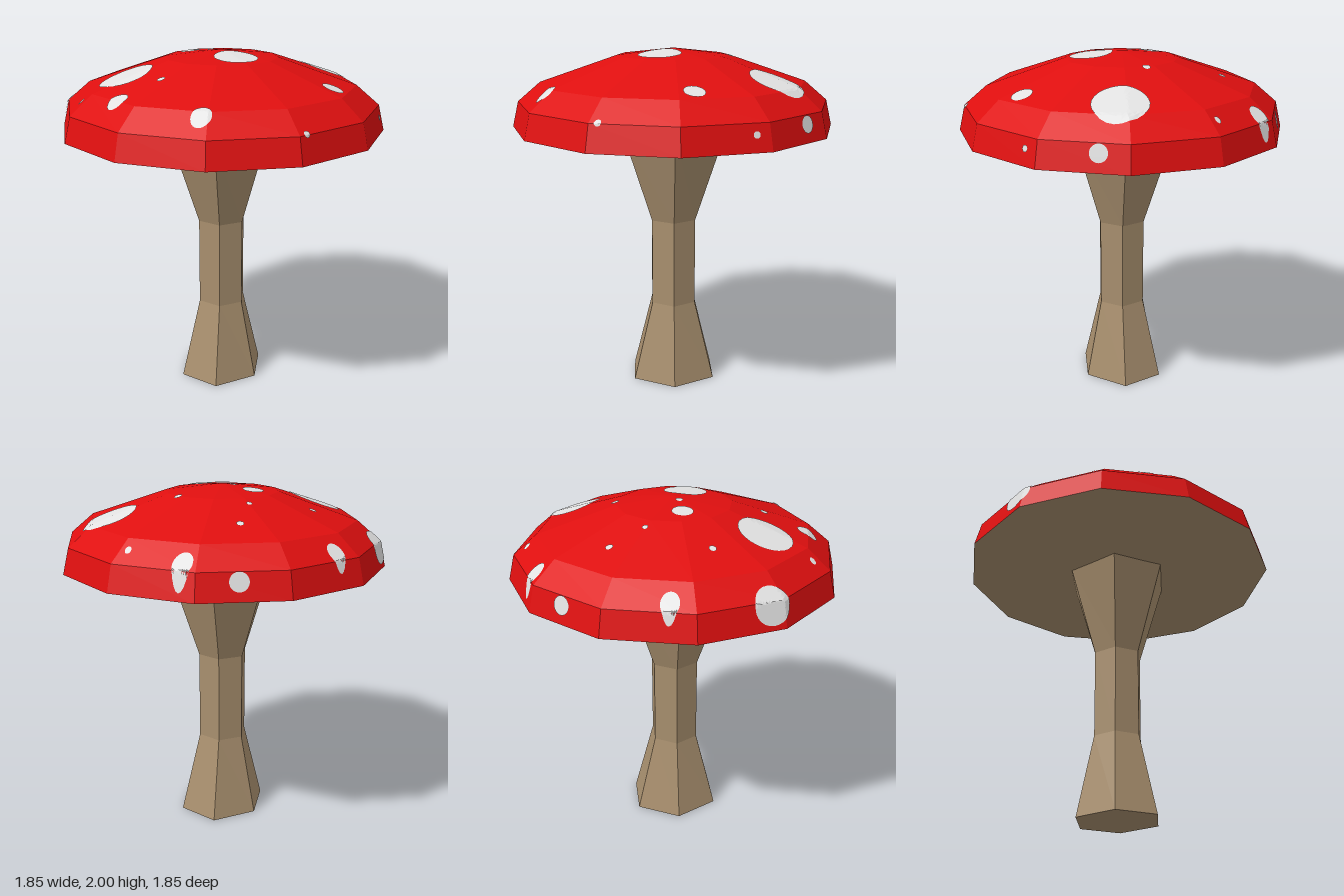
import * as THREE from 'three';

const red = new THREE.MeshStandardMaterial({ color: 0xdf0f0f, flatShading: true });
red.name = 'capRed';
const white = new THREE.MeshStandardMaterial({ color: 0xe2e2e2, flatShading: true });
white.name = 'spotWhite';
const brown = new THREE.MeshStandardMaterial({ color: 0xa88f6e, flatShading: true });
brown.name = 'stemBrown';

const lathe = (points, sides, start = 0) =>
  new THREE.LatheGeometry(points.map(([r, y]) => new THREE.Vector2(r, y)), sides, start);

function addMesh(parent, name, geometry, material) {
  const mesh = new THREE.Mesh(geometry, material);
  mesh.name = name;
  parent.add(mesh);
  return mesh;
}

// Outward facet planes of the convex cap
function facetPlanes(geometry) {
  const pos = geometry.toNonIndexed().attributes.position;
  const planes = [];
  for (let i = 0; i < pos.count; i += 3) {
    const t = new THREE.Triangle().setFromAttributeAndIndices(pos, i, i + 1, i + 2);
    if (t.getArea() < 1e-5) continue;
    const plane = t.getPlane(new THREE.Plane());
    if (plane.normal.y < 0) plane.negate();
    planes.push(plane);
  }
  return planes;
}

// Thin disc slid along its axis until it hugs the cap facets
function spotGeometry(center, axis, radius, planes) {
  const rings = radius > 0.04 ? 8 : 3;
  const disc = new THREE.RingGeometry(0, radius, 24, rings);
  const turn = new THREE.Quaternion().setFromUnitVectors(new THREE.Vector3(0, 0, 1), axis);
  disc.applyQuaternion(turn).translate(center.x, center.y, center.z);
  const pos = disc.attributes.position;
  const p = new THREE.Vector3();
  for (let i = 0; i < pos.count; i++) {
    p.fromBufferAttribute(pos, i);
    let slide = -Infinity;
    for (const plane of planes) {
      const facing = plane.normal.dot(axis);
      if (facing > 0.05) slide = Math.max(slide, plane.distanceToPoint(p) / facing);
    }
    p.addScaledVector(axis, 0.005 - slide);
    pos.setXYZ(i, p.x, p.y, p.z);
  }
  disc.computeVertexNormals();
  return disc;
}

export function createModel() {
  const model = new THREE.Group();
  model.name = 'mushroom';

  // Stem: six-sided, flared at foot and top; each ring is [radius, height, depth scale]
  const stemRings = [[0, 0, 1], [0.25, 0, 1.11], [0.147, 0.48, 1], [0.147, 1, 1], [0.312, 1.54, 1.08]];
  const stem = lathe(stemRings, 6, Math.PI / 2);
  const pos = stem.attributes.position;
  for (let i = 0; i < pos.count; i++) pos.setZ(i, pos.getZ(i) * stemRings[i % stemRings.length][2]);
  stem.computeVertexNormals();
  addMesh(model, 'stem', stem, brown);

  // Cap: twelve-sided dome with a shallow underside
  const cap = new THREE.Group();
  cap.name = 'cap';
  model.add(cap);
  const dome = lathe([[0.925, 1.556], [0.89, 1.7], [0.76, 1.81], [0.32, 1.96], [0, 2]], 12);
  addMesh(cap, 'dome', dome, red);
  addMesh(cap, 'underside', lathe([[0, 1.52], [0.3, 1.525], [0.925, 1.556]], 12), brown);

  // Spots on the dome: [x, z, radius]
  const planes = facetPlanes(dome);
  const topSpots = [
    [-0.33, 0.44, 0.147], [0.355, -0.54, 0.148], [0.15, 0.08, 0.121], [-0.2, 0.02, 0.058],
    [0.665, -0.08, 0.057], [-0.36, -0.765, 0.053], [-0.15, 0.715, 0.055], [0.36, 0.69, 0.053],
    [-0.825, -0.12, 0.048], [-0.06, 0.02, 0.02], [0.05, -0.32, 0.022], [-0.33, -0.19, 0.016],
    [-0.415, -0.38, 0.02], [-0.52, 0.13, 0.02], [-0.04, 0.495, 0.021], [-0.45, 0.67, 0.017],
    [-0.045, -0.81, 0.017],
  ];
  const up = new THREE.Vector3(0, 1, 0);
  for (const [x, z, r] of topSpots)
    addMesh(cap, 'topSpot', spotGeometry(new THREE.Vector3(x, 2, z), up, r, planes), white);

  // Spots on the rim: [x, y, z, radius]
  const rimSpots = [
    [-0.785, 1.675, 0.385, 0.098], [0.575, 1.657, -0.685, 0.047], [-0.615, 1.657, -0.645, 0.05],
    [0.81, 1.645, -0.38, 0.018], [0.785, 1.705, 0.4, 0.018],
  ];
  for (const [x, y, z, r] of rimSpots) {
    const axis = new THREE.Vector3(x, 0.25, z).normalize();
    addMesh(cap, 'rimSpot', spotGeometry(new THREE.Vector3(x, y, z), axis, r, planes), white);
  }
  return model;
}
